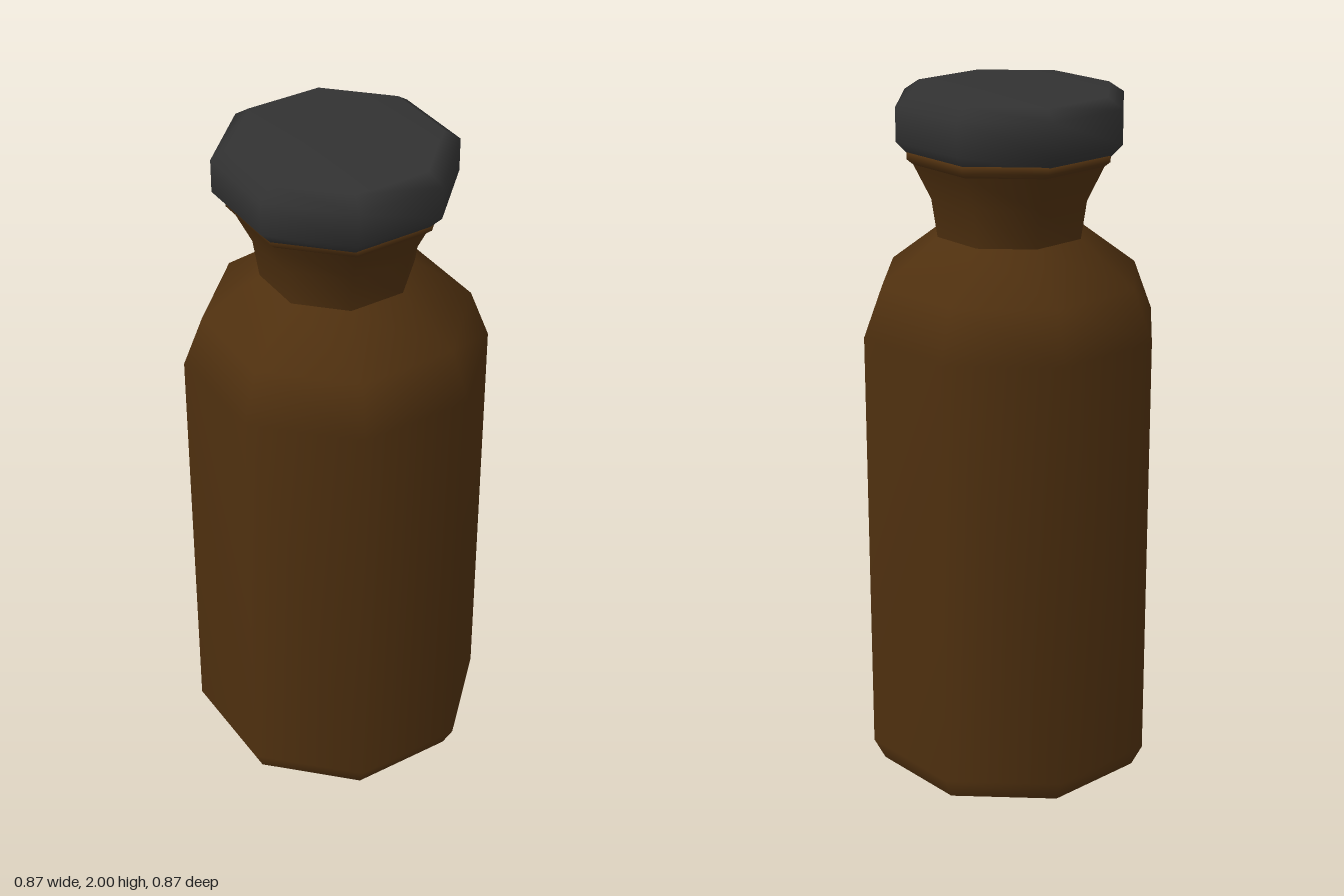
import * as THREE from 'three';

const SIDES = 8;

export function createModel() {
  const brownGlass = new THREE.MeshStandardMaterial({ color: 0x4f300f });
  brownGlass.name = 'brown glass';
  const darkCap = new THREE.MeshStandardMaterial({ color: 0x323232 });
  darkCap.name = 'dark cap';

  const model = new THREE.Group();
  model.name = 'bottle';

  // Eight-sided turned part; the profile is [radius, height] from bottom to top
  function turned(name, profile, material, parent = model) {
    const points = profile.map(([r, y]) => new THREE.Vector2(r, y));
    const mesh = new THREE.Mesh(new THREE.LatheGeometry(points, SIDES), material);
    mesh.name = name;
    parent.add(mesh);
    return mesh;
  }

  // Flat base, kept apart from the wall so its edge stays sharp
  turned('base', [[0, 0], [0.4, 0]], brownGlass);

  // Body with bevelled foot and sloping shoulder
  turned('body', [[0.4, 0], [0.433, 0.065], [0.433, 1.33], [0.378, 1.475], [0.215, 1.6]], brownGlass);

  // Flared neck and its rim
  turned('neck', [[0.215, 1.6], [0.232, 1.71], [0.282, 1.81]], brownGlass);
  turned('rim', [[0.282, 1.81], [0.3, 1.825], [0.3, 1.845], [0.2, 1.85]], brownGlass);

  // Cap, sitting very slightly forward and tilted
  const cap = new THREE.Group();
  cap.name = 'cap';
  cap.position.z = 0.005;
  turned('capUnderside', [[0, 1.835], [0.295, 1.835]], darkCap, cap);
  turned('capShell', [[0.295, 1.835], [0.333, 1.875], [0.333, 1.97], [0.288, 2], [0, 2]], darkCap, cap);
  model.add(cap);

  return model;
}
